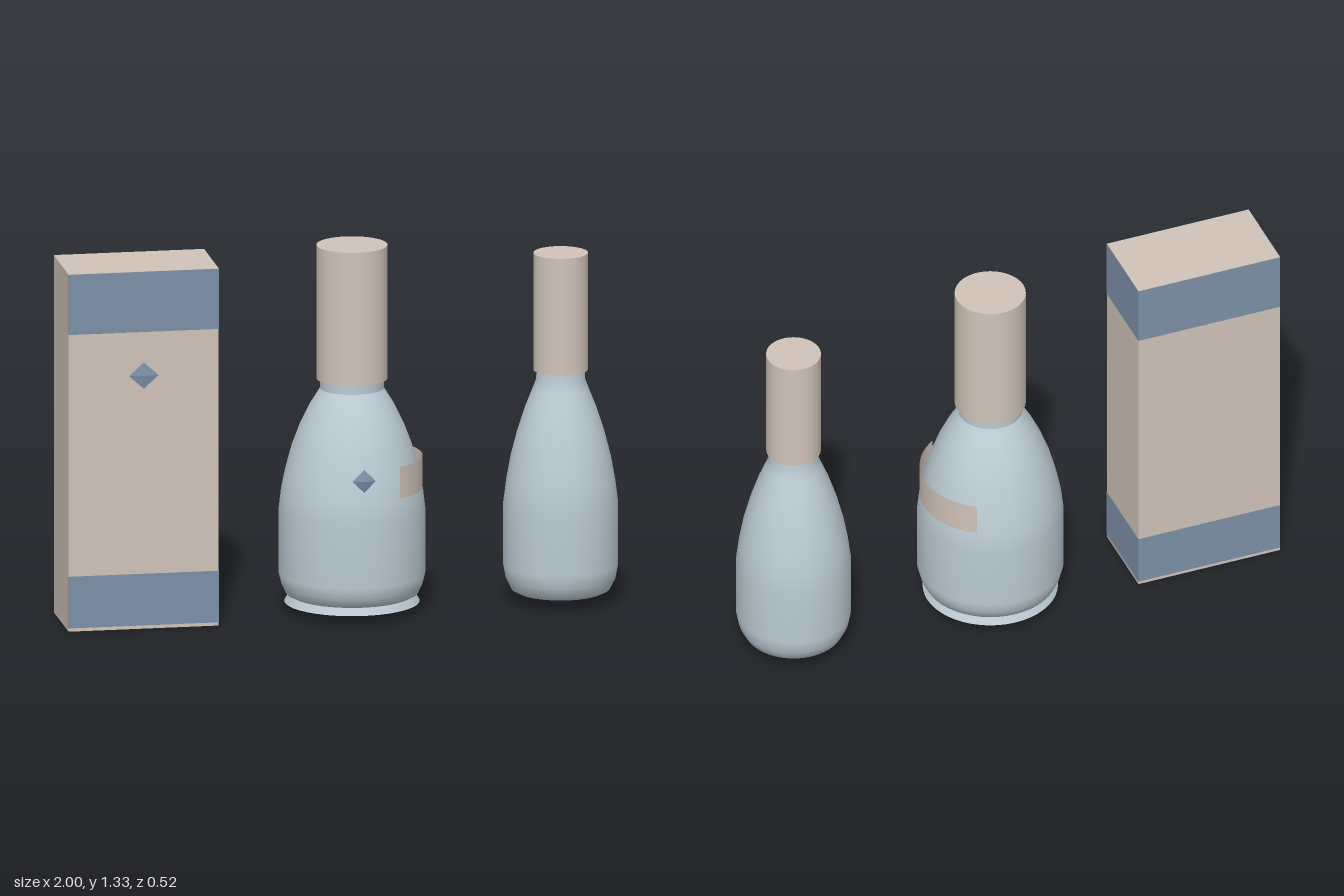
import * as THREE from 'three';

export function createModel() {
  const model = new THREE.Group();
  const material = (name, color, side = THREE.FrontSide) => {
    const m = new THREE.MeshStandardMaterial({ color, side });
    m.name = name;
    return m;
  };
  const beige = material('beige', 0xd0c4b9, THREE.DoubleSide);
  const blue = material('slate blue', 0x7d91a8);
  const glass = material('pale blue glass', 0xbccbd3);

  const add = (parent, name, geometry, mat, x = 0, y = 0, z = 0) => {
    const mesh = new THREE.Mesh(geometry, mat);
    mesh.name = name;
    mesh.position.set(x, y, z);
    parent.add(mesh);
    return mesh;
  };
  const group = (name, x) => {
    const g = new THREE.Group();
    g.name = name;
    g.position.x = x;
    model.add(g);
    return g;
  };
  // Flattened diamond ornament
  const diamond = (parent, r, h, d, y, z) =>
    add(parent, 'diamondOrnament', new THREE.OctahedronGeometry(1).scale(r, h, d), blue, 0, y, z);
  const lathe = (points) =>
    new THREE.LatheGeometry(points.map(([r, y]) => new THREE.Vector2(r, y)), 48);

  // Gift carton with two coloured bands
  const carton = group('carton', -0.73);
  add(carton, 'cartonBody', new THREE.BoxGeometry(0.54, 1.3, 0.3), beige, 0, 0.65, 0);
  for (const [name, low, high] of [['lowerBand', 0.012, 0.2], ['upperBand', 1.08, 1.299]]) {
    add(carton, name, new THREE.BoxGeometry(0.54, high - low, 0.303), blue, 0.001, (low + high) / 2, 0);
  }
  diamond(carton, 0.053, 0.048, 0.008, 0.922, 0.154);

  // Large bottle
  const large = group('largeBottle', 0.045);
  add(large, 'bottleBody', lathe([
    [0, 0.058], [0.215, 0.058], [0.235, 0.068], [0.25, 0.1], [0.26, 0.14], [0.26, 0.37],
    [0.252, 0.44], [0.238, 0.51], [0.214, 0.6], [0.184, 0.68], [0.15, 0.75], [0.122, 0.795], [0.113, 0.81],
  ]), glass);
  add(large, 'bottleNeck', new THREE.CylinderGeometry(0.113, 0.113, 0.07, 48, 1, true), glass, 0, 0.825, 0);
  add(large, 'bottleBase', new THREE.CylinderGeometry(0.225, 0.24, 0.025, 48), glass, 0, 0.0475, 0);
  add(large, 'bottleCap', new THREE.CylinderGeometry(0.126, 0.126, 0.485, 48), beige, 0, 1.0875, 0);
  // Label curving round the side
  add(large, 'sideLabel',
    new THREE.CylinderGeometry(0.25, 0.25, 0.12, 32, 1, true, Math.PI / 2 - 1, 2), beige, 0, 0.505, 0);
  diamond(large, 0.042, 0.042, 0.011, 0.527, 0.25);

  // Small bottle
  const small = group('smallBottle', 0.795);
  add(small, 'bottleBody', lathe([
    [0, 0.04], [0.155, 0.04], [0.175, 0.05], [0.195, 0.09], [0.204, 0.14], [0.204, 0.36],
    [0.194, 0.44], [0.178, 0.53], [0.155, 0.62], [0.126, 0.71], [0.1, 0.775], [0.087, 0.81], [0.085, 0.86],
  ]), glass);
  add(small, 'bottleCap', new THREE.CylinderGeometry(0.097, 0.097, 0.425, 48), beige, 0, 1.0575, 0);

  return model;
}
